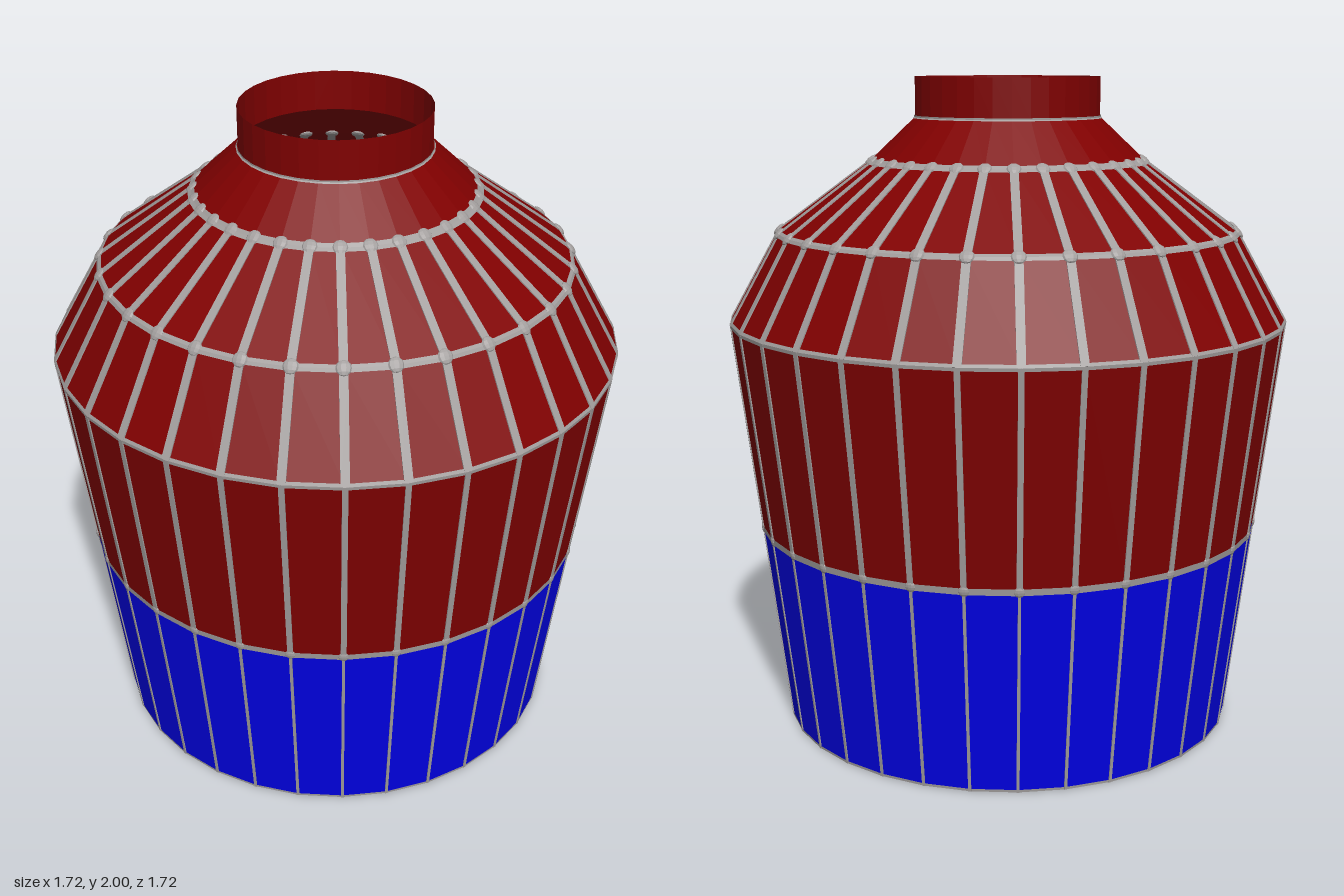
import * as THREE from 'three';
import { mergeGeometries } from 'three/addons/utils/BufferGeometryUtils.js';

const SIDES = 32;

export function createModel() {
  const model = new THREE.Group();
  model.name = 'vase';

  const mat = (name, color) => {
    const m = new THREE.MeshStandardMaterial({ color, flatShading: true, side: THREE.DoubleSide });
    m.name = name;
    return m;
  };
  const red = mat('dark red', 0x800000);
  const blue = mat('blue', 0x0000e7);
  const grey = mat('seam grey', 0xa39f9e);

  const add = (name, geometry, material) => {
    const mesh = new THREE.Mesh(geometry, material);
    mesh.name = name;
    model.add(mesh);
  };

  // Faceted shells turned from [radius, height] profiles
  const turn = (profile) =>
    new THREE.LatheGeometry(profile.map(([r, y]) => new THREE.Vector2(r, y)), SIDES);
  const path = [[0.705, 0], [0.78, 0.63], [0.857, 1.27], [0.705, 1.54], [0.42, 1.75], [0.282, 1.88], [0.282, 2]];
  add('floor', turn([[0.17, 0], [0.705, 0]]), blue);
  add('lowerBody', turn(path.slice(0, 2)), blue);
  add('upperBody', turn(path.slice(1, 6)), red);
  add('neck', turn(path.slice(5)), red);

  // Rim around the drain hole
  add('holeRim', turn([[0.15, 0], [0.17, 0], [0.17, 0.012], [0.15, 0.012], [0.15, 0]]), grey);

  // Point a given distance from a towards b
  const towards = ([r0, y0], [r1, y1], d) => {
    const t = d / Math.hypot(r1 - r0, y1 - y0);
    return [r0 + (r1 - r0) * t, y0 + (y1 - y0) * t];
  };
  const slope = (a, b) => Math.atan2(b[0] - a[0], b[1] - a[1]);

  // Horizontal seams: thin bands folded over each bend, [profile index, half width]
  const bands = [[1, 0.01], [2, 0.01], [3, 0.011], [4, 0.013], [5, 0.005]].map(([k, w]) =>
    turn([towards(path[k], path[k - 1], w), path[k], towards(path[k], path[k + 1], w)]
      .map(([r, y]) => [r + 0.003, y])));
  bands.push(turn([path[0], towards(path[0], path[1], 0.008)].map(([r, y]) => [r + 0.002, y])));
  add('hoopSeams', mergeGeometries(bands), grey);

  // Flat strips along each upright edge, with a width per profile section
  const widths = [0.009, 0.017, 0.025, 0.025];
  const strip = (a, b, width) =>
    new THREE.BoxGeometry(width, Math.hypot(b[0] - a[0], b[1] - a[1]), 0.006)
      .rotateX(slope(a, b))
      .translate(0, (a[1] + b[1]) / 2, (a[0] + b[0]) / 2);
  const strips = [];
  const knots = [];
  for (let i = 0; i < SIDES; i++) {
    const a = (i / SIDES) * Math.PI * 2;
    widths.forEach((w, k) => strips.push(strip(path[k], path[k + 1], w).rotateY(a)));
    // Low round knots where seams cross: [profile index, radius]
    for (const [k, radius] of [[1, 0.016], [3, 0.022], [4, 0.022]]) {
      const tilt = (slope(path[k - 1], path[k]) + slope(path[k], path[k + 1])) / 2;
      knots.push(new THREE.SphereGeometry(radius, 10, 6)
        .scale(1, 1, 0.4)
        .rotateX(tilt)
        .translate(0, path[k][1], path[k][0])
        .rotateY(a));
    }
  }
  add('uprightSeams', mergeGeometries(strips), grey);
  add('seamKnots', mergeGeometries(knots), grey);

  return model;
}
